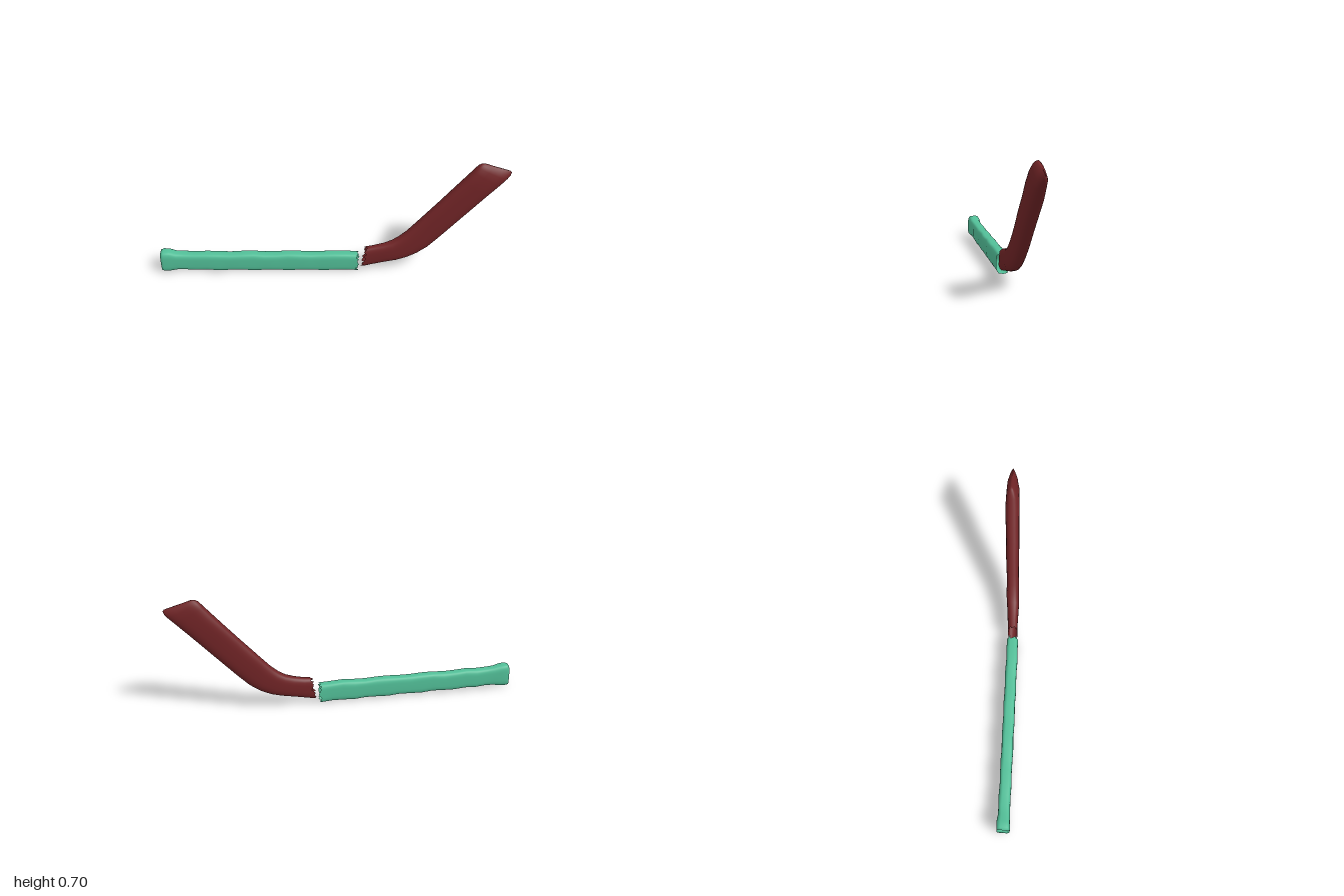
import * as THREE from 'three';

const SIDES = 32;

// Sections: [lowX, lowY, highX, highY, zCentre, halfThickness].
// Each becomes a rounded rectangle; jagged(j) shifts the points of a broken end along x.
function loft(sections, { power, brokenAt, closedAt, wobble }) {
  const pos = [], index = [];
  const round = v => Math.sign(v) * Math.pow(Math.abs(v), power);
  sections.forEach(([lx, ly, hx, hy, zc, t], i) => {
    for (let j = 0; j < SIDES; j++) {
      const a = (j / SIDES) * Math.PI * 2;
      const u = round(Math.cos(a)) / 2, v = round(Math.sin(a));
      const bump = 1 + wobble * Math.sin(i * 2.3 + Math.sin(a) * 2 + Math.cos(a));
      const rip = i === brokenAt ? 0.008 * Math.sin(j * 2.4) + 0.005 * Math.sin(j * 1.1) : 0;
      pos.push((lx + hx) / 2 + u * (hx - lx) + rip, (ly + hy) / 2 + u * (hy - ly), zc + v * t * bump);
    }
  });
  for (let i = 0; i < sections.length - 1; i++) {
    for (let j = 0; j < SIDES; j++) {
      const k = (j + 1) % SIDES;
      const a = i * SIDES + j, b = i * SIDES + k, c = a + SIDES, d = b + SIDES;
      index.push(a, b, c, b, d, c);
    }
  }
  // close one end with a fan
  const [lx, ly, hx, hy, zc] = sections[closedAt];
  const centre = pos.length / 3;
  pos.push((lx + hx) / 2, (ly + hy) / 2, zc);
  for (let j = 0; j < SIDES; j++) {
    const a = closedAt * SIDES + j, b = closedAt * SIDES + (j + 1) % SIDES;
    if (closedAt === 0) index.push(centre, b, a);
    else index.push(centre, a, b);
  }
  const geo = new THREE.BufferGeometry();
  geo.setAttribute('position', new THREE.Float32BufferAttribute(pos, 3));
  geo.setIndex(index);
  geo.computeVertexNormals();
  return geo;
}

function part(name, geo, color) {
  const mesh = new THREE.Mesh(geo, new THREE.MeshStandardMaterial({ color, side: THREE.DoubleSide }));
  mesh.name = name;
  return mesh;
}

export function createModel() {
  const group = new THREE.Group();
  group.name = 'brokenStick';

  // Handle: flared butt with a hollowed end, then a long straight shaft
  const handle = [
    [-0.975, 0.045, -0.975, 0.115, 0.036, 0.018],
    [-0.99, 0.025, -0.99, 0.135, 0.036, 0.03],
    [-1.0, 0.016, -1.0, 0.143, 0.036, 0.036],
    [-0.985, 0.013, -0.985, 0.149, 0.036, 0.039],
    [-0.95, 0.014, -0.95, 0.147, 0.036, 0.038],
    [-0.91, 0.02, -0.91, 0.135, 0.035, 0.034],
    [-0.86, 0.022, -0.86, 0.131, 0.034, 0.034],
  ];
  for (let i = 0; i <= 14; i++) {
    const f = i / 14, x = -0.8 + f * 0.952;
    handle.push([x, 0.016 - 0.009 * f + 0.003 * Math.sin(i * 2.1), x,
      0.129 - 0.006 * f + 0.003 * Math.sin(i * 1.7), 0.033 - 0.021 * f, 0.034]);
  }
  group.add(part('handle', loft(handle,
    { power: 0.55, brokenAt: handle.length - 1, closedAt: 0, wobble: 0.05 }), 0x52bf98));

  // Blade: snapped neck, curved heel, straight blade and pinched slanted tip
  const blade = [
    [0.18, 0.03, 0.2, 0.16, 0.01, 0.029],
    [0.235, 0.042, 0.245, 0.167, 0.007, 0.03],
    [0.31, 0.058, 0.3, 0.179, 0.003, 0.033],
    [0.38, 0.072, 0.35, 0.196, -0.001, 0.037],
    [0.44, 0.09, 0.39, 0.222, -0.005, 0.038],
    [0.5, 0.118, 0.435, 0.262, -0.009, 0.037],
    [0.56, 0.162, 0.48, 0.312, -0.013, 0.037],
    [0.63, 0.235, 0.54, 0.38, -0.018, 0.038],
    [0.71, 0.323, 0.61, 0.459, -0.024, 0.039],
    [0.79, 0.412, 0.68, 0.54, -0.03, 0.04],
    [0.87, 0.5, 0.745, 0.616, -0.035, 0.041],
    [0.94, 0.574, 0.785, 0.664, -0.039, 0.037],
    [0.975, 0.611, 0.806, 0.69, -0.042, 0.03],
    [0.992, 0.632, 0.823, 0.702, -0.044, 0.019],
    [0.997, 0.648, 0.838, 0.705, -0.045, 0.008],
    [0.99, 0.658, 0.85, 0.701, -0.045, 0.003],
  ];
  group.add(part('blade', loft(blade,
    { power: 0.7, brokenAt: 0, closedAt: blade.length - 1, wobble: 0.03 }), 0x702426));

  return group;
}
